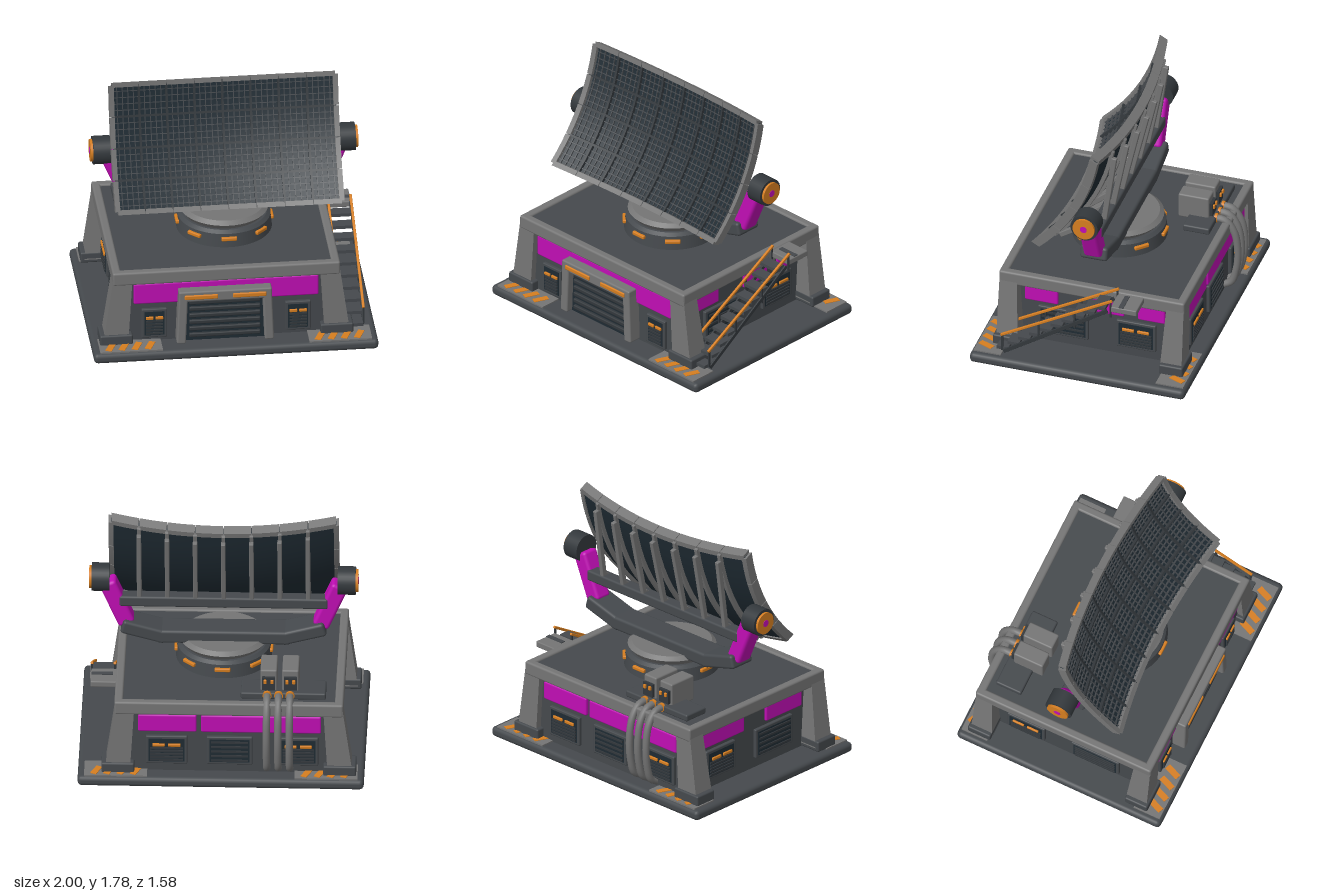
import * as THREE from 'three';
import { mergeGeometries } from 'three/addons/utils/BufferGeometryUtils.js';
import { RoundedBoxGeometry } from 'three/addons/geometries/RoundedBoxGeometry.js';

const material = (name, color) => {
  const m = new THREE.MeshStandardMaterial({ color });
  m.name = name;
  return m;
};
const dark = material('dark grey', 0x45494d);
const light = material('light grey', 0x757575);
const charcoal = material('charcoal', 0x33383c);
const navy = material('navy', 0x1f2b33);
const magenta = material('magenta', 0xc00eb4);
const orange = material('orange', 0xd67e20);

const V = (x, y, z) => new THREE.Vector3(x, y, z);

function add(parent, name, geometry, mat, x = 0, y = 0, z = 0) {
  const mesh = new THREE.Mesh(geometry, mat);
  mesh.name = name;
  mesh.position.set(x, y, z);
  parent.add(mesh);
  return mesh;
}
function group(parent, name, x = 0, y = 0, z = 0) {
  const g = new THREE.Group();
  g.name = name;
  g.position.set(x, y, z);
  parent.add(g);
  return g;
}
const box = (w, h, d) => new THREE.BoxGeometry(w, h, d);
const rbox = (w, h, d, r = 0.012) => new RoundedBoxGeometry(w, h, d, 2, r);
const cyl = (r0, r1, h, n = 40) => new THREE.CylinderGeometry(r0, r1, h, n);

// Rounded bar running from a to b
function strut(parent, name, a, b, w, d, mat) {
  const mesh = add(parent, name, rbox(w, a.distanceTo(b), d, Math.min(w, d) * 0.2), mat);
  mesh.position.copy(a).add(b).multiplyScalar(0.5);
  mesh.quaternion.setFromUnitVectors(V(0, 1, 0), b.clone().sub(a).normalize());
}

// Framed vent facing +z, with slats and optional pair of lamps
function vent(parent, x, y, z, turn, w, h, lamps) {
  const g = group(parent, 'vent', x, y, z);
  g.rotation.y = turn;
  add(g, 'ventFrame', rbox(w, h, 0.03, 0.008), dark);
  add(g, 'ventRecess', box(w - 0.04, h - 0.04, 0.008), navy, 0, 0, 0.014);
  const top = lamps ? h * 0.08 : h * 0.32;
  for (let i = 0; i < 5; i++) {
    const sy = top - (i * (top + h * 0.34)) / 4;
    add(g, 'ventSlat', box(w - 0.06, 0.014, 0.016), charcoal, 0, sy, 0.018);
  }
  if (lamps) for (const s of [-1, 1])
    add(g, 'ventLamp', rbox(w * 0.3, 0.022, 0.02, 0.005), orange, s * w * 0.19, h * 0.2, 0.02);
}

function buildBase(root) {
  add(root, 'baseSlab', rbox(2, 0.075, 1.575, 0.03), dark, 0, 0.0375, 0);
  // Corner pads with slanted warning stripes
  for (const sx of [-1, 1]) for (const sz of [-1, 1]) {
    add(root, 'cornerPad', box(0.44, 0.012, 0.2), light, sx * 0.735, 0.078, sz * 0.668);
    for (let i = 0; i < 4; i++) {
      const s = add(root, 'warningStripe', box(0.045, 0.006, 0.11), orange,
        sx * 0.735 - 0.14 + i * 0.092, 0.085, sz * 0.7);
      s.rotation.y = -0.4;
    }
  }
}

function buildBunker(root) {
  const b = group(root, 'bunker', -0.055, 0, -0.03);
  add(b, 'walls', box(1.45, 0.53, 1.27), dark, 0, 0.34, 0);
  add(b, 'roofDeck', box(1.54, 0.04, 1.3), dark, 0, 0.605, 0);
  for (const s of [-1, 1]) {
    add(b, 'roofRim', rbox(1.6, 0.1, 0.06, 0.015), light, 0, 0.59, s * 0.65);
    add(b, 'roofRim', rbox(0.06, 0.1, 1.36, 0.015), light, s * 0.77, 0.59, 0);
  }
  // Leaning corner posts on feet
  for (const sx of [-1, 1]) for (const sz of [-1, 1]) {
    const post = box(1, 1, 1), p = post.attributes.position;
    for (let i = 0; i < p.count; i++) {
      const up = p.getY(i) > 0, ox = p.getX(i) * sx > 0, oz = p.getZ(i) * sz > 0;
      p.setXYZ(i, sx * (ox ? (up ? 0.795 : 0.865) : (up ? 0.66 : 0.69)), up ? 0.6 : 0.1,
        sz * (oz ? (up ? 0.675 : 0.68) : (up ? 0.55 : 0.52)));
    }
    post.computeVertexNormals();
    add(b, 'cornerPost', post, light);
    add(b, 'postFoot', rbox(0.23, 0.08, 0.175, 0.012), dark, sx * 0.775, 0.115, sz * 0.608);
  }
}

function buildWallDetails(root) {
  // Coloured panels: front, back, right and left walls
  add(root, 'frontPanel', rbox(1.3, 0.16, 0.03), magenta, -0.055, 0.455, 0.612);
  for (const [x0, x1] of [[0.17, 0.58], [-0.7, 0.14]])
    add(root, 'backPanel', rbox(x1 - x0, 0.135, 0.04), magenta, (x0 + x1) / 2, 0.465, -0.672);
  for (const [z0, z1] of [[0.235, 0.48], [-0.25, -0.015], [-0.55, -0.35]])
    add(root, 'rightPanel', rbox(0.03, 0.135, z1 - z0), magenta, 0.674, 0.465, (z0 + z1) / 2);
  for (const [z0, z1] of [[0.12, 0.48], [-0.52, -0.1]])
    add(root, 'leftPanel', rbox(0.03, 0.135, z1 - z0), magenta, -0.784, 0.465, (z0 + z1) / 2);

  const q = Math.PI / 2;
  vent(root, -0.56, 0.22, 0.615, 0, 0.18, 0.225, true);
  vent(root, 0.45, 0.22, 0.615, 0, 0.18, 0.225, true);
  vent(root, 0.68, 0.26, 0.195, q, 0.37, 0.22, false);
  vent(root, 0.68, 0.26, -0.34, q, 0.29, 0.22, true);
  vent(root, -0.79, 0.26, 0.195, -q, 0.37, 0.22, false);
  vent(root, -0.79, 0.26, -0.34, -q, 0.29, 0.22, true);
  vent(root, 0.38, 0.25, -0.675, 2 * q, 0.29, 0.22, true);
  vent(root, -0.06, 0.25, -0.675, 2 * q, 0.32, 0.22, false);
  vent(root, -0.54, 0.25, -0.675, 2 * q, 0.28, 0.22, true);

  // Roller door in a heavy frame
  const d = group(root, 'rollerDoor', -0.068, 0, 0.6);
  add(d, 'doorBack', box(0.56, 0.34, 0.05), navy, 0, 0.25, 0.02);
  for (let i = 0; i < 6; i++)
    add(d, 'doorSlat', rbox(0.5, 0.03, 0.03, 0.008), charcoal, 0, 0.125 + i * 0.052, 0.05);
  for (const s of [-1, 1]) {
    strut(d, 'doorJamb', V(s * 0.31, 0.08, 0.045), V(s * 0.295, 0.45, 0.045), 0.065, 0.11, light);
    add(d, 'doorLamp', rbox(0.235, 0.034, 0.02, 0.008), orange, s * 0.17, 0.448, 0.1);
  }
  add(d, 'doorLintel', rbox(0.655, 0.08, 0.11), light, 0, 0.45, 0.045);
}

function buildStairs(root) {
  const s = group(root, 'stairs', 0.835, 0, 0);
  for (let i = 0; i < 10; i++)
    add(s, 'tread', box(0.15, 0.024, 0.085), dark, 0, 0.11 + i * 0.054, 0.57 - i * 0.079);
  for (const x of [-0.08, 0.08]) {
    strut(s, 'stringer', V(x, 0.09, 0.56), V(x, 0.59, -0.2), 0.012, 0.03, charcoal);
    strut(s, 'handrail', V(x, 0.225, 0.58), V(x, 0.68, -0.235), 0.018, 0.018, orange);
    for (let i = 0; i < 4; i++) {
      const z = 0.57 - i * 0.265, y = 0.225 + i * 0.148;
      add(s, 'railPost', box(0.012, 0.13, 0.012), charcoal, x, y - 0.06, z);
    }
  }
  add(s, 'landing', rbox(0.22, 0.045, 0.19, 0.008), light, -0.025, 0.61, -0.32);
  add(s, 'landingMat', box(0.15, 0.008, 0.035), dark, 0.005, 0.634, -0.3);
}

function buildRoofEquipment(root) {
  add(root, 'equipmentPlate', rbox(0.595, 0.05, 0.195), dark, -0.433, 0.65, -0.513);
  for (const x of [-0.482, -0.33]) {
    add(root, 'powerBox', rbox(0.117, 0.19, 0.225), light, x, 0.738, -0.452);
    add(root, 'powerBoxBack', box(0.09, 0.1, 0.03), charcoal, x, 0.735, -0.572);
    for (const s of [-1, 1])
      add(root, 'powerBoxLamp', rbox(0.022, 0.03, 0.02, 0.005), orange, x + s * 0.024, 0.755, -0.59);
  }
  // Cable conduits over the back edge
  for (const x of [-0.48, -0.4, -0.32]) {
    const path = new THREE.CatmullRomCurve3([V(x, 0.655, -0.59), V(x, 0.645, -0.67), V(x, 0.56, -0.735),
      V(x, 0.4, -0.762), V(x, 0.25, -0.75), V(x, 0.14, -0.715), V(x, 0.1, -0.65)]);
    add(root, 'conduit', new THREE.TubeGeometry(path, 28, 0.026, 12), light);
    add(root, 'conduitCollar', cyl(0.032, 0.032, 0.02, 16), orange, x, 0.655, -0.605).rotation.x = Math.PI / 2;
  }
}

function buildTurntable(root) {
  const t = group(root, 'turntable');
  add(t, 'turntableRing', cyl(0.325, 0.335, 0.1, 48), dark, 0, 0.68, 0);
  add(t, 'turntableBevel', cyl(0.3, 0.325, 0.02, 48), dark, 0, 0.74, 0);
  add(t, 'turntableCap', cyl(0.31, 0.275, 0.045, 48), light, 0, 0.765, 0);
  add(t, 'turntableTop', cyl(0.28, 0.31, 0.025, 48), light, 0, 0.8, 0);
  for (let i = 0; i < 8; i++) {
    const a = (i * Math.PI) / 4;
    add(t, 'ringLamp', rbox(0.11, 0.028, 0.03, 0.008), orange,
      Math.sin(a) * 0.33, 0.695, Math.cos(a) * 0.33).rotation.y = a;
  }
}

function buildYoke(root) {
  const y = group(root, 'yoke', 0, 0, -0.033);
  add(y, 'yokeBeam', rbox(0.94, 0.1, 0.2, 0.02), dark, 0, 0.835, 0);
  add(y, 'torqueBeam', rbox(1.46, 0.08, 0.1, 0.015), dark, 0, 1.1, -0.02);
  for (const s of [-1, 1]) {
    strut(y, 'yokeShoulder', V(s * 0.4, 0.825, 0), V(s * 0.71, 0.91, 0), 0.1, 0.2, dark);
    strut(y, 'yokeArm', V(s * 0.675, 0.91, 0), V(s * 0.815, 1.24, 0), 0.12, 0.13, magenta);
    const pivot = (name, r, x, w, mat) => {
      add(y, name, cyl(r, r, w, 32), mat, s * x, 1.26, 0).rotation.z = Math.PI / 2;
    };
    pivot('pivotDrum', 0.1, 0.86, 0.125, charcoal);
    pivot('pivotCap', 0.08, 0.93, 0.02, orange);
    pivot('pivotHub', 0.025, 0.939, 0.008, magenta);
  }
}

function buildDish(root) {
  const dish = group(root, 'dish', 0, 1.288, 0.018);
  dish.rotation.x = -0.495;
  const bow = (u, v) => 0.156 * u * u + 0.37 * v * v;
  // Box at (u, v, depth) bent to the double curve of the dish
  const bent = (w, h, d, u, v, depth) => {
    const g = new THREE.BoxGeometry(w, h, d, Math.ceil(w / 0.1), Math.ceil(h / 0.1), 1).translate(u, v, depth);
    const p = g.attributes.position;
    for (let i = 0; i < p.count; i++) p.setZ(i, p.getZ(i) + bow(p.getX(i), p.getY(i)));
    g.computeVertexNormals();
    return g;
  };
  const U = 0.787, H = 0.446, cw = (2 * U) / 8, ch = (2 * H) / 4;
  add(dish, 'dishPanel', bent(2 * U, 2 * H, 0.03, 0, 0, -0.032), navy);

  const frame = [], ribs = [], mesh = [];
  for (let i = 0; i < 8; i++) for (const s of [-1, 1])
    frame.push(bent(cw - 0.005, 0.035, 0.065, -U + (i + 0.5) * cw, s * H, -0.025));
  for (let j = 0; j < 4; j++) for (const s of [-1, 1])
    frame.push(bent(0.035, ch - 0.005, 0.065, s * U, -H + (j + 0.5) * ch, -0.025));
  for (let i = 1; i < 40; i++) {
    const u = -U + (i * cw) / 5;
    if (i % 5) mesh.push(bent(0.006, 2 * H, 0.012, u, 0, -0.012));
    else ribs.push(bent(0.016, 2 * H, 0.035, u, 0, -0.012));
  }
  for (let j = 1; j < 20; j++) {
    const v = -H + (j * ch) / 5;
    if (j % 5) mesh.push(bent(2 * U, 0.006, 0.012, 0, v, -0.012));
    else ribs.push(bent(2 * U, 0.016, 0.035, 0, v, -0.012));
  }
  add(dish, 'dishFrame', mergeGeometries(frame), light);
  add(dish, 'dishDividers', mergeGeometries(ribs), charcoal);
  add(dish, 'dishMesh', mergeGeometries(mesh), dark);

  // Rear ribs and struts reaching back to the torque beam
  const backRibs = [];
  for (let i = -3; i <= 3; i++) {
    const u = i * cw;
    backRibs.push(bent(0.025, 0.9, 0.03, u, 0, -0.06));
    strut(dish, 'upperStrut', V(u, -0.13, -0.17), V(u, 0.41, bow(u, 0.41) - 0.085), 0.032, 0.04, light);
    strut(dish, 'lowerStrut', V(u, -0.08, -0.15), V(u, -0.42, bow(u, 0.42) - 0.085), 0.032, 0.04, light);
  }
  add(dish, 'rearRibs', mergeGeometries(backRibs), light);
}

export function createModel() {
  const root = new THREE.Group();
  root.name = 'radarStation';
  [buildBase, buildBunker, buildWallDetails, buildStairs, buildRoofEquipment,
    buildTurntable, buildYoke, buildDish].forEach((build) => build(root));
  return root;
}
